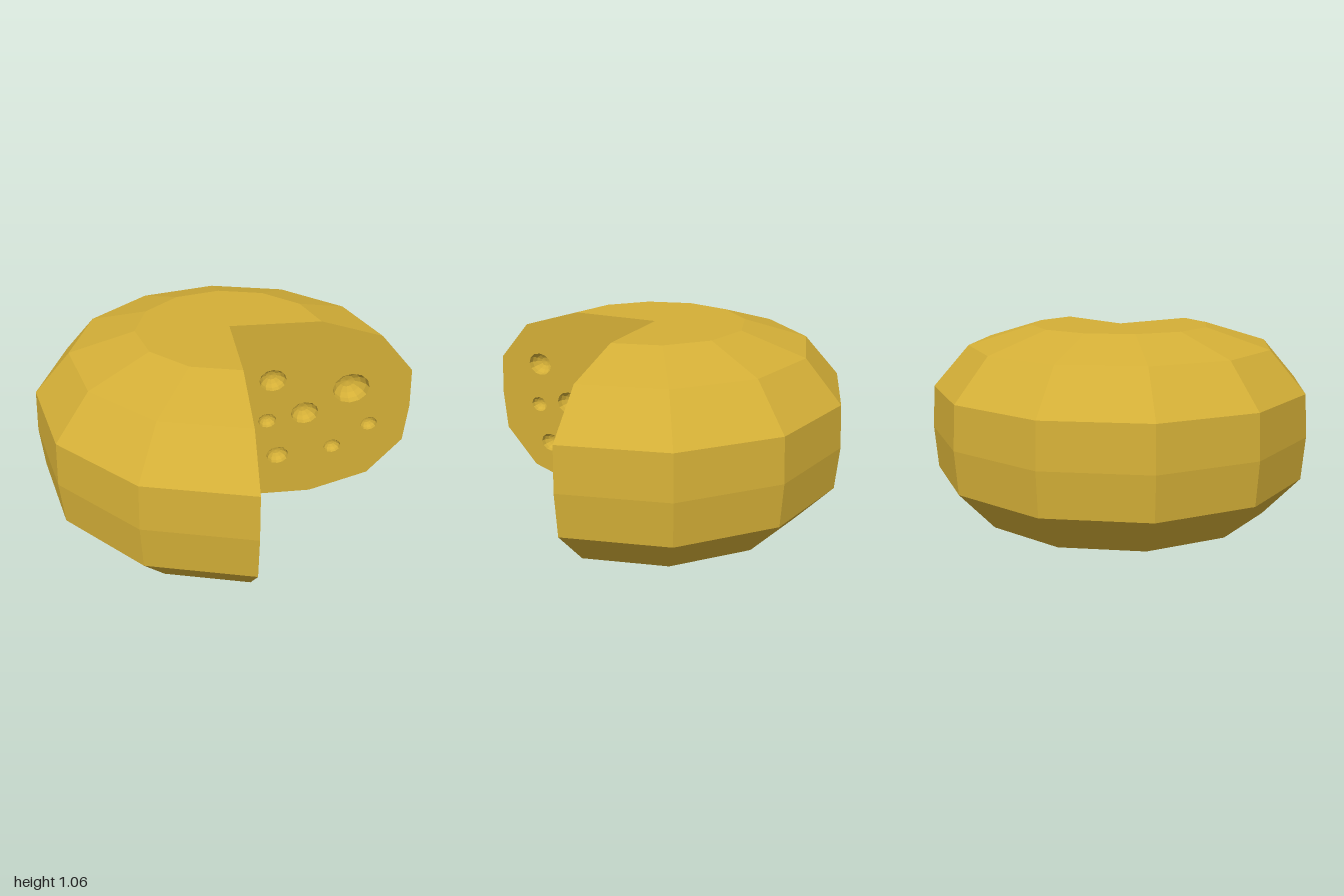
import * as THREE from 'three';

const rad = THREE.MathUtils.degToRad;
const HEIGHT = 1.06;
const CUT = 31; // angle of the right cut face, degrees from +x towards +z
const SIDES = 12;
const STRETCH = 1.15; // holes are a little wider than tall

// wheel outline, radius and height, from bottom to top
const profile = [
  [0, 0], [0.47, 0], [0.8, 0.1], [0.985, 0.31], [1, 0.53],
  [0.985, 0.75], [0.8, 0.96], [0.47, HEIGHT], [0, HEIGHT],
].map(([r, y]) => new THREE.Vector2(r, y));

// holes on a cut face: distance from the centre line, height, radius
const holes = [
  [0.233, 0.735, 0.063], [0.66, 0.66, 0.088], [0.414, 0.525, 0.066], [0.21, 0.49, 0.043],
  [0.78, 0.43, 0.041], [0.274, 0.26, 0.054], [0.583, 0.297, 0.042],
];

function facet(geometry) {
  const flat = geometry.toNonIndexed();
  flat.computeVertexNormals();
  return flat;
}

// bowl-shaped dent opening towards +z
function dentGeometry(r) {
  const points = [];
  for (let i = 0; i <= 4; i++) {
    const a = (i / 4) * Math.PI / 2;
    points.push(new THREE.Vector2(i === 4 ? 0 : r * Math.cos(a), -r * Math.sin(a)));
  }
  const bowl = new THREE.LatheGeometry(points, SIDES);
  bowl.rotateX(Math.PI / 2);
  bowl.scale(STRETCH, 1, 1);
  return facet(bowl);
}

// flat cut with open holes, and a dent behind each one
function makeCutFace(name, side, shift, material) {
  const group = new THREE.Group();
  group.name = name;
  const shape = new THREE.Shape(profile.map((p) => new THREE.Vector2(p.x * side, p.y)));
  for (const [u, y, r] of holes) {
    const rim = [];
    for (let i = 0; i < SIDES; i++) {
      const a = (i / SIDES) * Math.PI * 2;
      rim.push(new THREE.Vector2(u + shift + STRETCH * r * Math.sin(a), y + r * Math.cos(a)));
    }
    shape.holes.push(new THREE.Path(rim));
    const dent = new THREE.Mesh(dentGeometry(r), material);
    dent.name = 'hole';
    dent.position.set(u + shift, y, 0);
    group.add(dent);
  }
  const face = new THREE.Mesh(new THREE.ShapeGeometry(shape), material);
  face.name = 'cutSurface';
  group.add(face);
  return group;
}

export function createModel() {
  const model = new THREE.Group();
  model.name = 'cheeseWheel';
  const cheese = new THREE.MeshStandardMaterial({ color: 0xd4af37 });
  cheese.name = 'cheese yellow';

  const wheel = new THREE.Group();
  wheel.position.z = 0.07;
  model.add(wheel);
  wheel.name = 'wheel';

  // three quarters of a faceted wheel
  const rind = new THREE.Mesh(
    facet(new THREE.LatheGeometry(profile, 9, rad(90 - CUT), rad(270))), cheese);
  rind.name = 'rind';
  wheel.add(rind);

  // the two walls of the missing wedge share one hole pattern
  const leftCut = makeCutFace('leftCutFace', 1, 0, cheese);
  leftCut.rotation.y = rad(-CUT);
  const rightCut = makeCutFace('rightCutFace', -1, -0.96, cheese);
  rightCut.rotation.y = rad(90 - CUT);
  wheel.add(leftCut, rightCut);

  return model;
}
